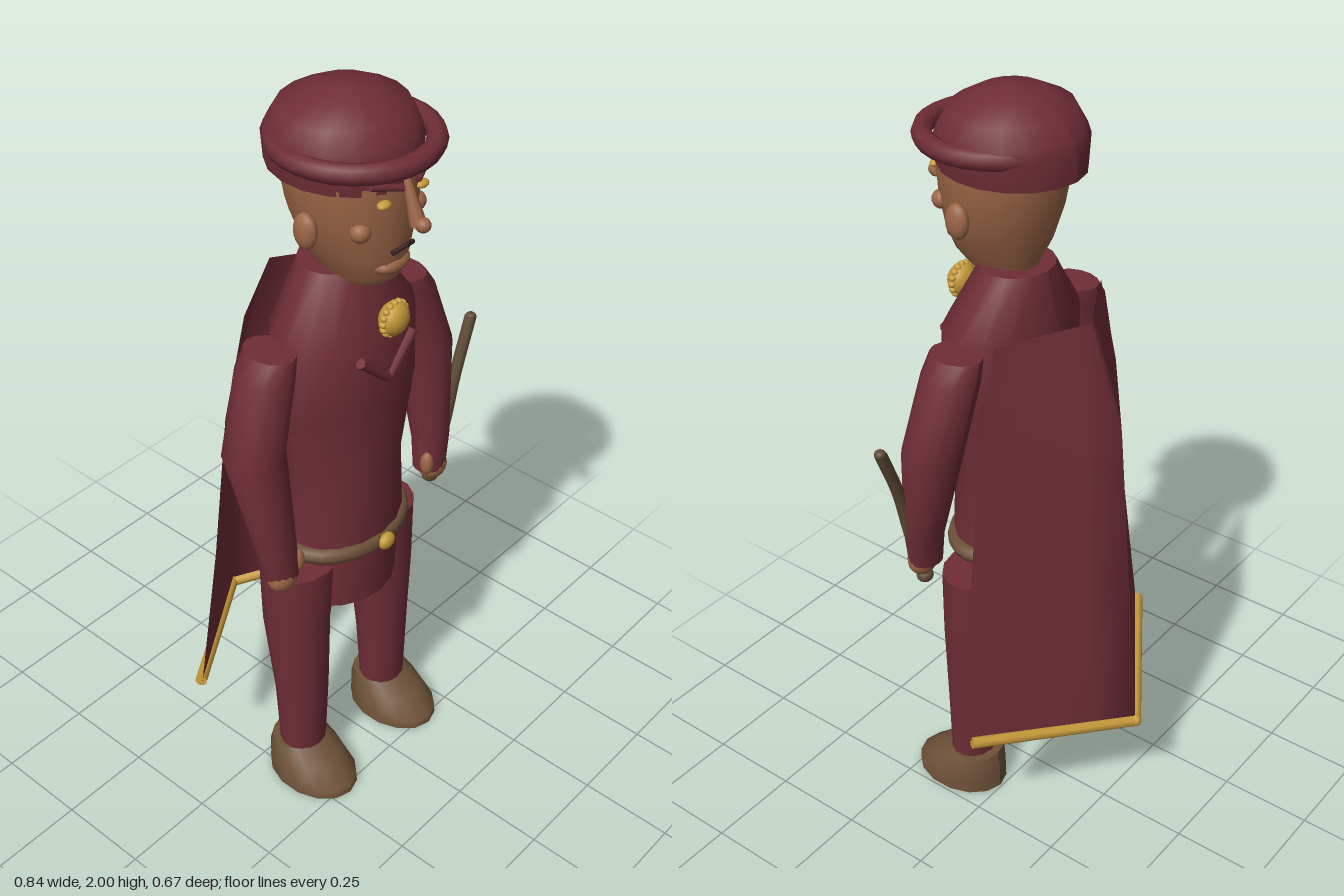
import * as THREE from 'three';

const mat = (name, color, side = THREE.FrontSide) => {
  const m = new THREE.MeshStandardMaterial({ color, side });
  m.name = name;
  return m;
};

// Closed solid through elliptical rings [x, y, z, rx, rz], listed bottom to top
function loft(rings, n = 14) {
  const pos = [], idx = [];
  const addRing = ([x, y, z, rx, rz]) => {
    const start = pos.length / 3;
    for (let i = 0; i <= n; i++) {
      const a = Math.PI + (i / n) * Math.PI * 2;
      pos.push(x + rx * Math.sin(a), y, z + rz * Math.cos(a));
    }
    return start;
  };
  const starts = rings.map(addRing);
  for (let j = 0; j < rings.length - 1; j++) {
    for (let i = 0; i < n; i++) {
      const a = starts[j] + i, b = starts[j + 1] + i;
      idx.push(a, a + 1, b + 1, a, b + 1, b);
    }
  }
  // Flat caps with their own vertices
  [[rings[0], false], [rings[rings.length - 1], true]].forEach(([r, top]) => {
    const s = addRing(r), c = pos.length / 3;
    pos.push(r[0], r[1], r[2]);
    for (let i = 0; i < n; i++) top ? idx.push(c, s + i, s + i + 1) : idx.push(c, s + i + 1, s + i);
  });
  const g = new THREE.BufferGeometry();
  g.setAttribute('position', new THREE.Float32BufferAttribute(pos, 3));
  g.setIndex(idx);
  g.computeVertexNormals();
  return g;
}

// V-shaped cloth: rows of [edgeY, middleY, halfWidth, edgeZ, middleZ], top to bottom
function capeGeometry(rows, cols = 8) {
  const pos = [], idx = [];
  rows.forEach(([ye, ym, w, ze, zm]) => {
    for (let i = 0; i <= cols; i++) {
      const t = (i / cols) * 2 - 1, k = Math.abs(t);
      pos.push(w * t, ym + (ye - ym) * k, zm + (ze - zm) * k);
    }
  });
  for (let j = 0; j < rows.length - 1; j++) {
    for (let i = 0; i < cols; i++) {
      const a = j * (cols + 1) + i, b = a + cols + 1;
      idx.push(a, a + 1, b + 1, a, b + 1, b);
    }
  }
  const g = new THREE.BufferGeometry();
  g.setAttribute('position', new THREE.Float32BufferAttribute(pos, 3));
  g.setIndex(idx);
  g.computeVertexNormals();
  return g;
}

export function createModel() {
  const cloth = mat('maroon cloth', 0x6f2d37);
  const capeCloth = mat('maroon cape', 0x6f2d37, THREE.DoubleSide);
  const skin = mat('skin', 0x9c6647);
  const gold = mat('gold', 0xc79a3a);
  const leather = mat('brown leather', 0x6e5239);
  const wood = mat('wood', 0x5e4a35);
  const dark = mat('dark lip', 0x3a2020);

  const model = new THREE.Group();
  model.name = 'cloakedFigure';
  const body = new THREE.Group();
  body.name = 'body';
  body.position.x = -0.028;
  model.add(body);

  const add = (name, geo, material, x = 0, y = 0, z = 0) => {
    const m = new THREE.Mesh(geo, material);
    m.name = name;
    m.position.set(x, y, z);
    body.add(m);
    return m;
  };
  const ball = (name, material, x, y, z, rx, ry, rz) =>
    add(name, new THREE.SphereGeometry(1, 14, 10).scale(rx, ry, rz), material, x, y, z);
  // Tapered rod between two points
  const rod = (name, material, a, b, ra, rb = ra, sides = 8) => {
    const p = new THREE.Vector3(...a), q = new THREE.Vector3(...b);
    const m = add(name, new THREE.CylinderGeometry(rb, ra, p.distanceTo(q), sides), material);
    m.position.copy(p).lerp(q, 0.5);
    m.quaternion.setFromUnitVectors(new THREE.Vector3(0, 1, 0), q.sub(p).normalize());
    return m;
  };

  // Tunic with sloping shoulders, skirt and belt
  add('tunic', loft([
    [0, 0.76, 0.09, 0.18, 0.135], [0, 1.0, 0.09, 0.158, 0.135], [0, 1.22, 0.09, 0.215, 0.14],
    [0, 1.41, 0.085, 0.208, 0.143], [0, 1.56, 0.065, 0.1, 0.09],
  ], 16), cloth);
  add('skirt', loft([[0, 0.595, 0.09, 0.155, 0.128], [0, 0.78, 0.09, 0.157, 0.13]], 16), cloth);
  const belt = new THREE.TorusGeometry(1, 0.12, 8, 24).rotateX(Math.PI / 2).scale(0.177, 0.19, 0.13);
  add('belt', belt, leather, 0, 0.78, 0.093);
  ball('buckle', gold, 0, 0.78, 0.238, 0.027, 0.023, 0.017);

  // Scalloped brooch and chest chevron
  ball('brooch', gold, 0, 1.457, 0.24, 0.043, 0.043, 0.033);
  for (let i = 0; i < 16; i++) {
    const a = (i / 16) * Math.PI * 2;
    ball('broochBead', gold, Math.cos(a) * 0.041, 1.457 + Math.sin(a) * 0.041, 0.24, 0.008, 0.008, 0.01);
  }

  [-1, 1].forEach((s) => {
    const side = s < 0 ? 'right' : 'left';
    rod(side + 'Chevron', cloth, [0, 1.285, 0.228], [s * 0.095, 1.37, 0.222], 0.013);

    // Legs and shoes
    add(side + 'Leg', loft([
      [s * 0.168, 0.08, 0.1, 0.066, 0.058], [s * 0.166, 0.3, 0.095, 0.076, 0.068],
      [s * 0.168, 0.55, 0.08, 0.09, 0.088], [s * 0.15, 0.73, 0.076, 0.113, 0.095],
    ]), cloth);
    add(side + 'Shoe', loft([
      [s * 0.172, 0, 0.14, 0.1, 0.135], [s * 0.172, 0.025, 0.14, 0.1, 0.133],
      [s * 0.172, 0.07, 0.113, 0.093, 0.106], [s * 0.17, 0.112, 0.085, 0.076, 0.068],
    ]), leather);

    // Arms and hands
    add(side + 'Arm', loft([
      [s * 0.29, 0.81, 0.143, 0.047, 0.042], [s * 0.3, 0.9, 0.135, 0.055, 0.048],
      [s * 0.315, 1.17, 0.085, 0.077, 0.077], [s * 0.255, 1.36, 0.07, 0.072, 0.075],
      [s * 0.235, 1.41, 0.068, 0.055, 0.07],
    ]), cloth);
    ball(side + 'Hand', skin, s * 0.295, 0.81, 0.15, 0.043, 0.043, 0.036);
    ball(side + 'Thumb', skin, s * 0.253, 0.84, 0.163, 0.017, 0.035, 0.018);

    // Facial features
    ball(side + 'Ear', skin, s * 0.163, 1.71, 0.115, 0.021, 0.045, 0.032);
    ball(side + 'Cheek', skin, s * 0.096, 1.715, 0.215, 0.025, 0.024, 0.025);
    ball(side + 'Eye', gold, s * 0.065, 1.785, 0.255, 0.019, 0.01, 0.014);
    rod(side + 'Brow', cloth, [s * 0.025, 1.818, 0.275], [s * 0.1, 1.838, 0.245], 0.008);
    rod(side + 'Lip', dark, [0, 1.66, 0.266], [s * 0.036, 1.652, 0.258], 0.006);
  });

  // Head, nose and chin
  add('head', loft([
    [0, 1.54, 0.115, 0.06, 0.095], [0, 1.57, 0.125, 0.075, 0.118], [0, 1.63, 0.118, 0.113, 0.138],
    [0, 1.72, 0.108, 0.145, 0.155], [0, 1.82, 0.1, 0.16, 0.165], [0, 1.88, 0.1, 0.15, 0.155],
  ], 18), skin);
  rod('nose', skin, [0, 1.725, 0.3], [0, 1.83, 0.262], 0.02, 0.009);
  ball('noseTip', skin, 0, 1.73, 0.312, 0.018, 0.018, 0.02);
  ball('chin', skin, 0, 1.605, 0.225, 0.056, 0.025, 0.036);

  // Cap with rolled brim
  add('cap', loft([
    [0, 1.808, 0.08, 0.167, 0.185], [0, 1.88, 0.08, 0.178, 0.186], [0, 1.905, 0.08, 0.178, 0.172],
    [0, 1.95, 0.08, 0.155, 0.145], [0, 1.985, 0.082, 0.085, 0.08], [0, 2.0, 0.085, 0.012, 0.012],
  ], 18), cloth);
  const brim = new THREE.TorusGeometry(0.181, 0.025, 8, 28).rotateX(Math.PI / 2);
  add('capBrim', brim, cloth, 0, 1.88, 0.115);

  // Cape with gold hem
  add('cape', capeGeometry([
    [1.45, 1.46, 0.215, -0.03, -0.15], [1.19, 1.19, 0.285, -0.035, -0.25],
    [0.8, 0.78, 0.335, -0.038, -0.285], [0.365, 0.3, 0.385, -0.062, -0.325],
  ]), capeCloth);
  [-1, 1].forEach((s) => rod('capeHem', gold, [0, 0.3, -0.325], [s * 0.383, 0.36, -0.07], 0.016));
  ball('hemPoint', gold, 0, 0.3, -0.325, 0.017, 0.017, 0.017);

  // Carved stick held in the left hand
  const path = new THREE.CatmullRomCurve3([
    new THREE.Vector3(0.3, 0.765, 0.14), new THREE.Vector3(0.34, 0.92, 0.15),
    new THREE.Vector3(0.372, 1.05, 0.15), new THREE.Vector3(0.437, 1.205, 0.143),
  ]);
  add('stick', new THREE.TubeGeometry(path, 12, 0.016, 8), wood);
  ball('stickPommel', wood, 0.3, 0.765, 0.14, 0.023, 0.02, 0.022);
  ball('stickTip', wood, 0.437, 1.203, 0.143, 0.015, 0.012, 0.015);

  return model;
}
